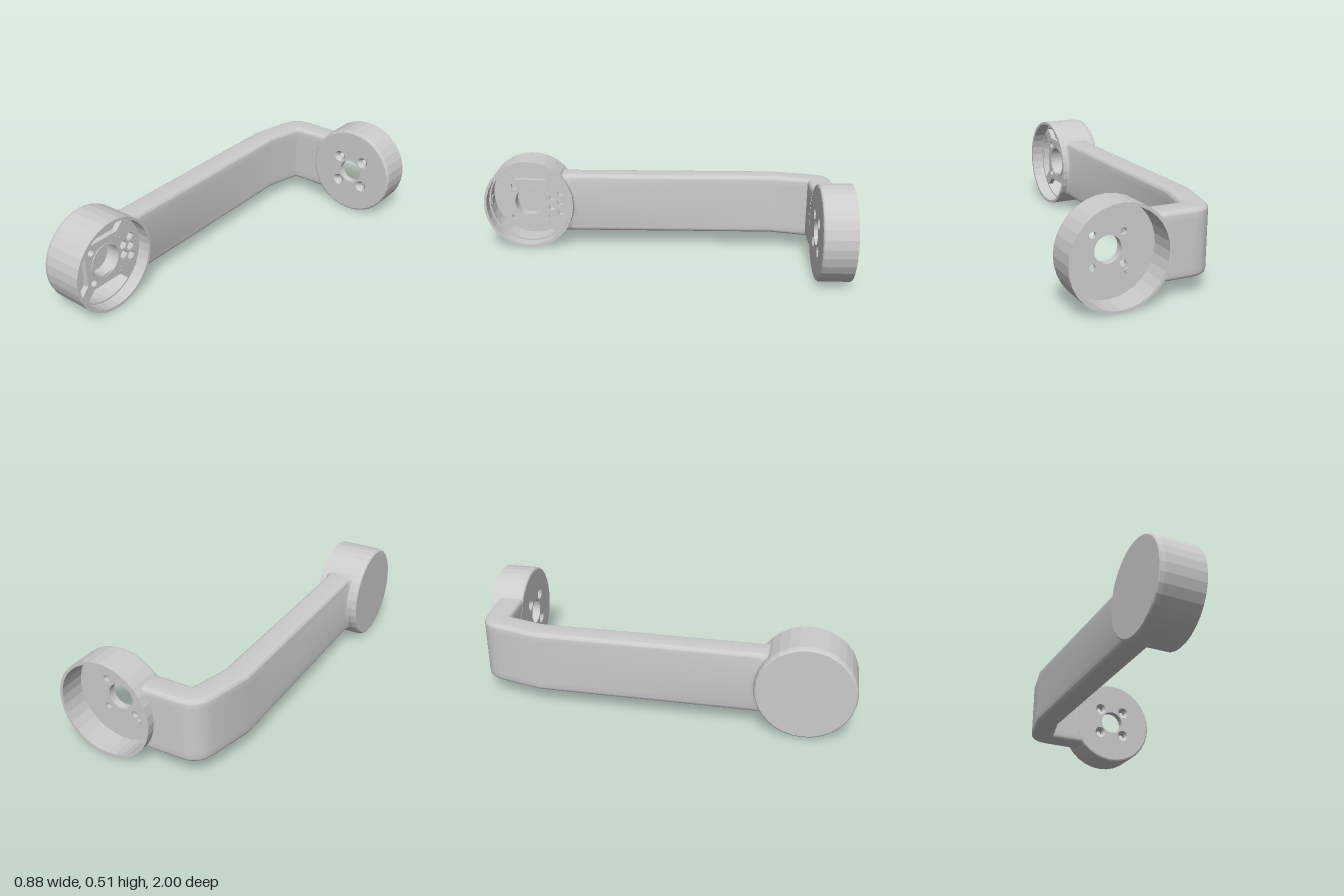
import * as THREE from 'three';
import { toCreasedNormals } from 'three/addons/utils/BufferGeometryUtils.js';

const CY = 0.257;                 // height of both cup axes
const BACK_X = 0.185, FRONT_Z = 0.745;
const R = 0.255, RI = 0.24;       // cup outer and inner radius
const SIDES = 32;

const flat = new THREE.MeshStandardMaterial({ color: 0xcccccc, flatShading: true });
const smooth = new THREE.MeshStandardMaterial({ color: 0xcccccc });

const lathe = (pts, sides = SIDES) =>
  new THREE.LatheGeometry(pts.map(([r, y]) => new THREE.Vector2(r, y)), sides);

const circle = (x, y, r) => new THREE.Path().absarc(x, y, r, 0, Math.PI * 2, true);

const polygon = (pts) => new THREE.Path(pts.map(([x, y]) => new THREE.Vector2(x, y)).concat(
  new THREE.Vector2(...pts[0])));

function disc(radius, holes, depth) {
  const s = new THREE.Shape().absarc(0, 0, radius, 0, Math.PI * 2, false);
  s.holes.push(...holes);
  return new THREE.ExtrudeGeometry(s, { depth, bevelEnabled: false, curveSegments: SIDES / 2 });
}

function add(parent, name, geometry, material = flat) {
  const m = new THREE.Mesh(geometry, material);
  m.name = name;
  parent.add(m);
  return m;
}

// Bent arm: rounded rectangular sections swept between the two cups
function armGeometry() {
  const half = 0.167, c = 0.022, thick = 0.13;
  const loop = [];
  const corner = (t, y, a0) => {
    for (let i = 0; i <= 4; i++) {
      const a = a0 + (i / 4) * Math.PI / 2;
      loop.push([(t + c * Math.cos(a)) / thick, y + c * Math.sin(a)]);
    }
  };
  const side = (t, s) => {
    for (let i = 1; i < 10; i++) loop.push([t, s * (half - c) * (-1 + i / 5)]);
  };
  corner(c, -half + c, Math.PI);
  corner(thick - c, -half + c, -Math.PI / 2);
  side(1, 1);
  corner(thick - c, half - c, 0);
  corner(c, half - c, Math.PI / 2);
  side(0, -1);

  // Each station: inner (x, z), outer (x, z)
  const bow = (y) => Math.sqrt(0.249 ** 2 - y * y);
  const stations = [
    (y) => [-0.225, FRONT_Z - bow(y), -0.405, FRONT_Z - bow(y)],
    (y) => [-0.24, FRONT_Z - bow(y) - 0.01, -0.39, FRONT_Z - bow(y) - 0.01],
    (y) => [-0.25, FRONT_Z - bow(y) - 0.035, -0.38, FRONT_Z - bow(y) - 0.035],
    () => [-0.25, -0.63, -0.38, -0.63],
    () => [-0.203, -0.813, -0.328, -0.855],
    () => [-0.202, -0.818, -0.313, -0.897],
    () => [-0.201, -0.823, -0.287, -0.931],
    () => [-0.2, -0.825, -0.25, -0.951],
    () => [-0.195, -0.825, -0.205, -0.957],
    (y) => [BACK_X - bow(y), -0.825, BACK_X - bow(y), -0.957],
  ];
  const pos = [], idx = [], n = loop.length;
  for (const st of stations) for (const [t, y] of loop) {
    const [ix, iz, ox, oz] = st(y);
    pos.push(ix + (ox - ix) * t, CY + y, iz + (oz - iz) * t);
  }
  for (let i = 0; i < stations.length - 1; i++) for (let j = 0; j < n; j++) {
    const a = i * n + j, b = i * n + (j + 1) % n;
    idx.push(a, b, a + n, b, b + n, a + n);
  }
  const g = new THREE.BufferGeometry();
  g.setAttribute('position', new THREE.Float32BufferAttribute(pos, 3));
  g.setIndex(idx);
  return toCreasedNormals(g, 0.5);
}

// Rear cup, open to the back, with a drilled floor facing the front
function rearCup() {
  const g = new THREE.Group();
  g.name = 'rearCup';
  g.position.set(BACK_X, CY, -0.825);
  const floor = 0.04, bolts = [];
  for (const x of [-0.077, 0.077]) for (const y of [-0.077, 0.077]) bolts.push([x, y]);

  add(g, 'rearCupWall', lathe([[0.243, 0], [0.25, 0.003], [0.254, 0.009], [R, 0.018],
    [R, 0.175], [RI, 0.175], [RI, floor - 0.002]]).rotateX(-Math.PI / 2));
  add(g, 'rearCupFloor', disc(0.243, [circle(0, 0, 0.068),
    ...bolts.map(([x, y]) => circle(x, y, 0.033))], floor).translate(0, 0, -floor));

  // Countersunk bolt holes
  for (const [x, y] of bolts) {
    add(g, 'countersunkHole', lathe([[0.0335, floor], [0.017, floor], [0.017, 0.018], [0.033, 0]])
      .rotateX(-Math.PI / 2).translate(x, y, 0));
  }
  add(g, 'locatingPeg', new THREE.CylinderGeometry(0.014, 0.014, 0.012, 16)
    .rotateX(Math.PI / 2).translate(-0.098, -0.112, -floor - 0.004));
  return g;
}

// Front cup, open to +x, with a perforated mounting plate inside
function frontCup() {
  const g = new THREE.Group();
  g.name = 'frontCup';
  g.position.set(0, CY, FRONT_Z);
  add(g, 'frontCupShell', lathe([[0, -0.44], [0.243, -0.44], [0.25, -0.434], [R, -0.415], [R, -0.205],
    [RI, -0.205], [RI, -0.42], [0, -0.42]]).rotateZ(-Math.PI / 2));

  const holes = [circle(0, 0, 0.088)];
  for (const x of [-0.09, 0.09]) for (const y of [-0.09, 0.09]) holes.push(circle(x, y, 0.019));

  // Three wide pockets: top, left and bottom
  for (const turn of [0, 1, 2]) {
    const pts = [[0.09, 0.13], [-0.09, 0.13]];
    const a = Math.atan2(0.18, 0.14);
    for (let i = 0; i <= 8; i++) {
      const b = Math.PI - a + (i / 8) * (2 * a - Math.PI);
      pts.push([0.23 * Math.cos(b), 0.23 * Math.sin(b)]);
    }
    const q = turn * Math.PI / 2, cs = Math.cos(q), sn = Math.sin(q);
    holes.push(polygon(pts.map(([x, y]) => [x * cs - y * sn, x * sn + y * cs])));
  }

  // Honeycomb vents towards the arm
  for (let col = 0; col < 3; col++) for (let row = -3; row <= 3; row++) {
    const x = 0.125 + col * 0.05, y = (row + (col % 2 ? 0 : 0.5)) * 0.058;
    if (Math.hypot(x, y) > 0.232 - 0.024 || Math.abs(y) > 0.1) continue;
    const r = col === 2 ? 0.016 : 0.024;
    if (Math.hypot(x, y) + r > 0.24) continue;
    holes.push(polygon(Array.from({ length: 6 }, (_, k) =>
      [x + r * Math.cos(k * Math.PI / 3), y + r * Math.sin(k * Math.PI / 3)])));
  }
  add(g, 'mountingPlate', disc(0.241, holes, 0.03).rotateY(Math.PI / 2).translate(-0.305, 0, 0));

  // Collar around the central opening and a small catch on the wall
  add(g, 'centreCollar', lathe([[0.096, -0.35], [0.096, -0.27], [0.086, -0.27], [0.086, -0.35], [0.096, -0.35]])
    .rotateZ(-Math.PI / 2));
  add(g, 'wallCatch', new THREE.BoxGeometry(0.05, 0.04, 0.02).translate(-0.31, 0, 0.232));
  return g;
}

export function createModel() {
  const model = new THREE.Group();
  model.name = 'bentArmBracket';
  add(model, 'arm', armGeometry(), smooth);
  model.add(rearCup(), frontCup());
  return model;
}
